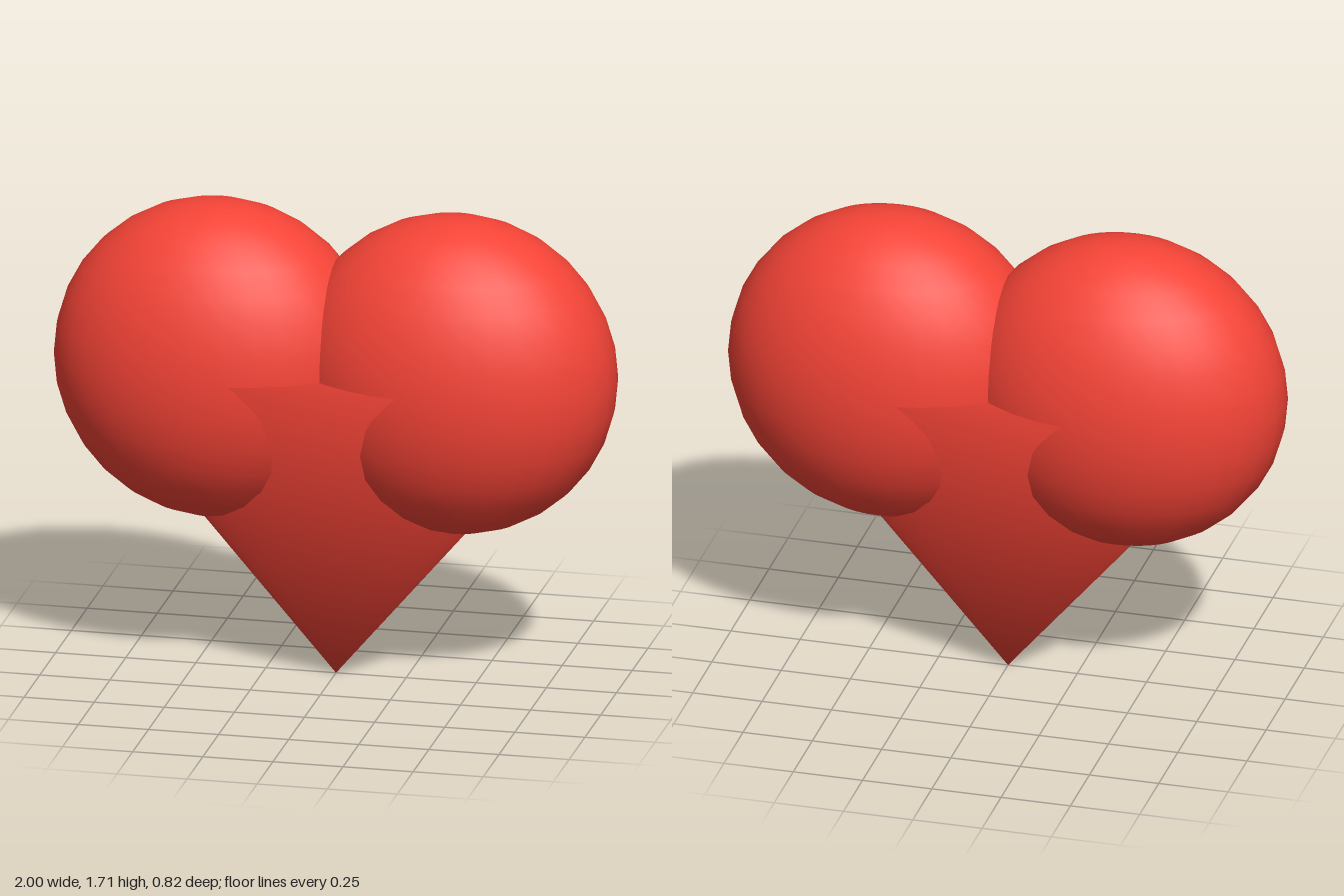
import * as THREE from 'three';
import { mergeVertices } from 'three/addons/utils/BufferGeometryUtils.js';

export function createModel() {
  const group = new THREE.Group();
  group.name = 'heart';
  const red = new THREE.MeshStandardMaterial({ color: 0xf44336 });

  // Two overlapping flattened spheres form the upper lobes
  const lobe = new THREE.SphereGeometry(1, 32, 16);
  lobe.scale(0.575, 0.575, 0.4);
  for (const [name, side] of [['leftLobe', 1], ['rightLobe', -1]]) {
    const mesh = new THREE.Mesh(lobe, red);
    mesh.name = name;
    mesh.position.set(side * 0.425, 1.13, 0);
    group.add(mesh);
  }

  // Flattened cone, tip down, closed by a flat top between the lobes
  const height = 1.15;
  let cone = new THREE.ConeGeometry(1, height, 32);
  cone.rotateX(Math.PI);
  cone.scale(0.975, 1, 0.41);
  cone.translate(0, height / 2, 0);
  // Weld the rim and tip so the shading runs smoothly over them
  cone.deleteAttribute('normal');
  cone.deleteAttribute('uv');
  cone = mergeVertices(cone, 1e-4);
  cone.computeVertexNormals();
  const point = new THREE.Mesh(cone, red);
  point.name = 'lowerPoint';
  group.add(point);

  return group;
}
